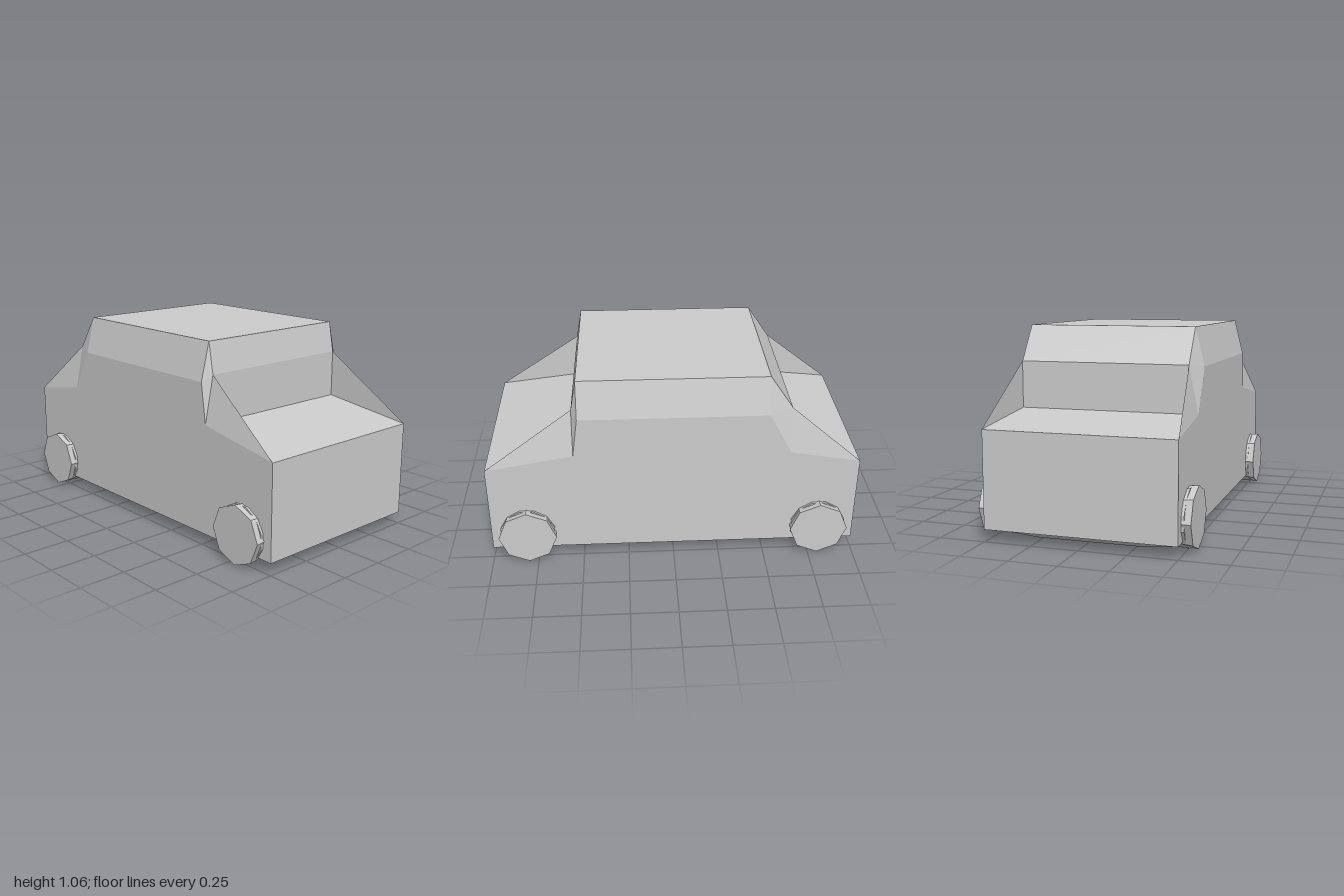
import * as THREE from 'three';

const material = () => new THREE.MeshStandardMaterial({ color: 0xcccccc, flatShading: true, side: THREE.DoubleSide });

// Flat-faced mesh from convex polygons; each is [outward hint, corner, corner, ...]
function facesMesh(name, faces) {
  const out = [];
  for (const [hint, ...pts] of faces) {
    const p = pts.map((c) => new THREE.Vector3(...c));
    const n = p[1].clone().sub(p[0]).cross(p[2].clone().sub(p[0]));
    if (n.dot(new THREE.Vector3(...hint)) < 0) p.reverse();
    for (let i = 1; i < p.length - 1; i++) {
      for (const v of [p[0], p[i], p[i + 1]]) out.push(v.x, v.y, v.z);
    }
  }
  const geo = new THREE.BufferGeometry();
  geo.setAttribute('position', new THREE.Float32BufferAttribute(out, 3));
  geo.computeVertexNormals();
  const mesh = new THREE.Mesh(geo, material());
  mesh.name = name;
  return mesh;
}

const W = 0.5;       // half width of the body
const R = 0.45;      // half width of the roof
const FLOOR = 0.07, BELT = 0.87, ROOF = 1.07, NOSE = 0.575;

// Each end: s = direction in z, wall = window wall z, top and base = its heights
const ENDS = [
  { name: 'front', s: 1, wall: 0.53, top: 0.905, base: 0.655 },
  { name: 'rear', s: -1, wall: 0.625, top: 0.885, base: 0.64 },
];

// Bonnet or boot with its window wall, sloped glass, pillars and side fins
function endMesh({ name, s, wall, top, base }) {
  const z = s * wall;
  const span = (hint, a, b) => [hint, [-a[0], a[1], a[2]], a, b, [-b[0], b[1], b[2]]];
  const roofEdge = [R, ROOF, s * 0.5], wallTop = [R, top, z], wallBase = [R, base, z], nose = [W, NOSE, s];
  const faces = [
    span([0, 0, s], roofEdge, wallTop),
    span([0, 0, s], wallTop, wallBase),
    span([0, 1, 0], wallBase, nose),
    span([0, 0, s], nose, [W, FLOOR, s]),
  ];
  for (const m of [1, -1]) {
    const f = ([x, y, zz]) => [m * x, y, zz];
    const shoulder = f([W, BELT, s * 0.5]), sill = f([W, base, z]);
    faces.push(
      [[m, 0, s], shoulder, f(roofEdge), f(wallTop)],
      [[m, 0, s], shoulder, f(wallTop), sill],
      [[m, 0, 0], sill, f(wallTop), f(nose)],
      [[-m, 0, 0], f(wallBase), f(wallTop), f(nose)],
    );
  }
  return facesMesh(name + 'End', faces);
}

// Sides, roof and floor
function cabinMesh() {
  const outline = [[1, NOSE], [0.53, 0.655], [0.5, BELT], [-0.5, BELT], [-0.625, 0.64], [-1, NOSE]];
  const faces = [
    [[0, 1, 0], [-R, ROOF, 0.5], [R, ROOF, 0.5], [R, ROOF, -0.5], [-R, ROOF, -0.5]],
    [[0, -1, 0], [-W, FLOOR, 1], [W, FLOOR, 1], [W, FLOOR, -1], [-W, FLOOR, -1]],
  ];
  for (const m of [1, -1]) {
    for (let i = 0; i < outline.length - 1; i++) {
      const [[z0, y0], [z1, y1]] = [outline[i], outline[i + 1]];
      faces.push([[m, 0, 0], [m * W, y0, z0], [m * W, y1, z1], [m * W, FLOOR, z1], [m * W, FLOOR, z0]]);
    }
    faces.push([[m, 1, 0], [m * W, BELT, 0.5], [m * R, ROOF, 0.5], [m * R, ROOF, -0.5], [m * W, BELT, -0.5]]);
  }
  return facesMesh('cabin', faces);
}

// Wide faceted roller tapering towards an eight-sided wheel at each end
function axleGroup(name, z) {
  const group = new THREE.Group();
  group.name = name;
  const profile = [[0, -0.515], [0.153, -0.515], [0.148, -0.47], [0.165, -0.28], [0.165, 0.28], [0.148, 0.47], [0.153, 0.515], [0, 0.515]];
  const roller = new THREE.Mesh(
    new THREE.LatheGeometry(profile.map(([r, y]) => new THREE.Vector2(r, y)), 12, Math.PI / 12),
    material());
  roller.name = 'axle';
  roller.rotation.z = -Math.PI / 2;
  group.add(roller);
  for (const m of [1, -1]) {
    const wheel = new THREE.Mesh(new THREE.CylinderGeometry(0.158, 0.15, 0.07, 8), material());
    wheel.name = m > 0 ? 'leftWheel' : 'rightWheel';
    wheel.rotation.z = -m * Math.PI / 2;
    wheel.position.x = m * 0.515;
    group.add(wheel);
  }
  group.position.set(0, 0.166, z);
  return group;
}

export function createModel() {
  const car = new THREE.Group();
  car.name = 'car';
  car.add(cabinMesh(), ...ENDS.map(endMesh), axleGroup('frontAxle', 0.8), axleGroup('rearAxle', -0.8));
  return car;
}
